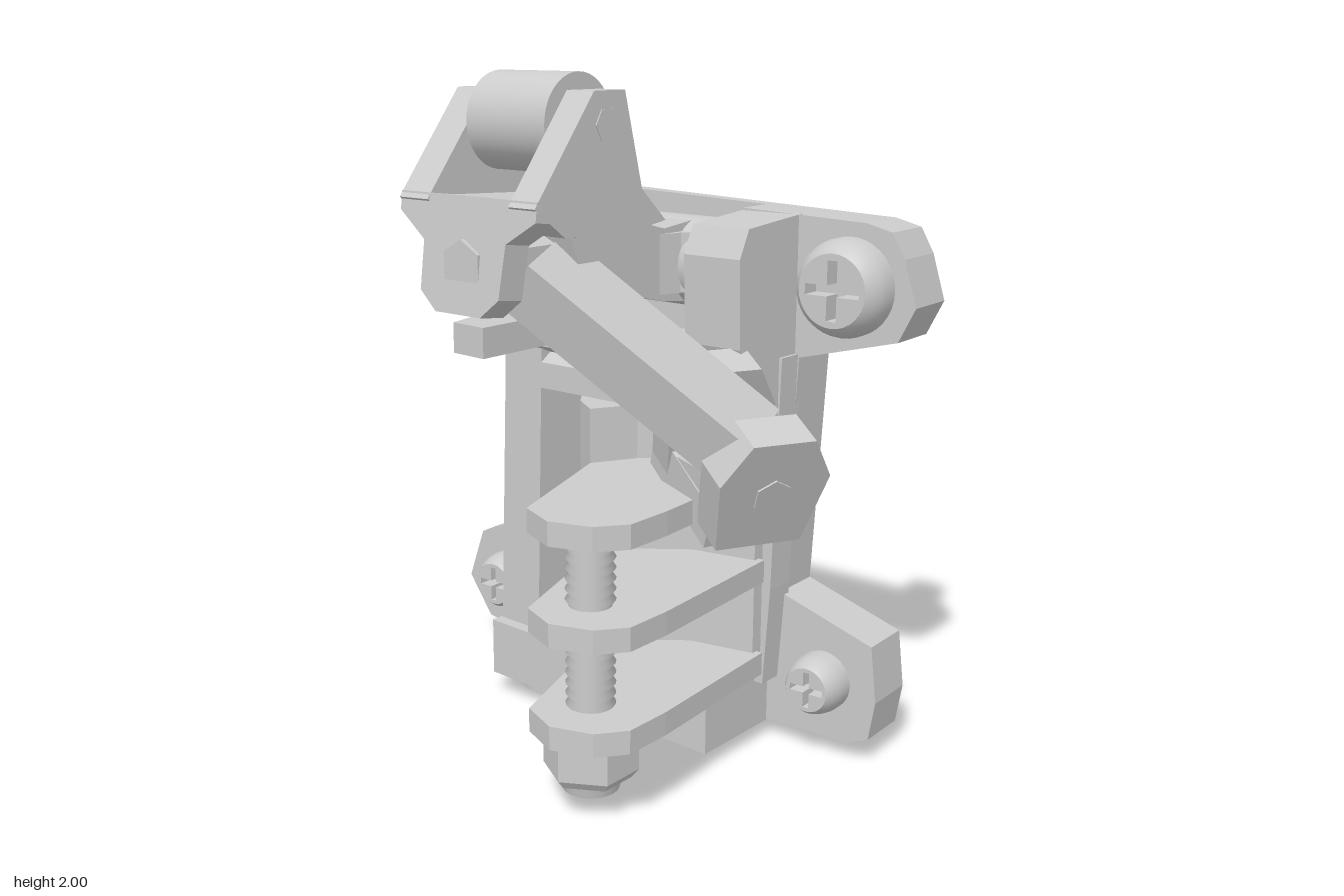
import * as THREE from 'three';

const grey = new THREE.MeshStandardMaterial({ color: 0xcccccc, side: THREE.DoubleSide });
const V = (x, y, z) => new THREE.Vector3(x, y, z);
const toShape = pts => new THREE.Shape(pts.map(p => new THREE.Vector2(p[0], p[1])));
const toProfile = pts => pts.map(p => new THREE.Vector2(p[0], p[1]));

function add(parent, name, geo, x = 0, y = 0, z = 0) {
  const m = new THREE.Mesh(geo, grey);
  m.name = name;
  m.position.set(x, y, z);
  parent.add(m);
  return m;
}
const extrude = (shape, depth) => new THREE.ExtrudeGeometry(shape, { depth, bevelEnabled: false, curveSegments: 16 });

// outline in x,y pushed along z
function front(parent, name, pts, z0, z1, hole) {
  const s = toShape(pts);
  if (hole) s.holes.push(toShape(hole));
  return add(parent, name, extrude(s, z1 - z0), 0, 0, z0);
}
// outline in z,y pushed along x
function side(parent, name, pts, x0, x1) {
  const m = add(parent, name, extrude(toShape(pts), x1 - x0), x1, 0, 0);
  m.rotation.y = -Math.PI / 2;
  return m;
}
// outline in x,z pushed along y
function plan(parent, name, pts, y0, y1) {
  const m = add(parent, name, extrude(toShape(pts), y1 - y0), 0, y1, 0);
  m.rotation.x = Math.PI / 2;
  return m;
}
// flat-sided hexagonal prism
function hexPrism(r0, r1, h) {
  const g = new THREE.CylinderGeometry(r0, r1, h, 6).toNonIndexed();
  g.computeVertexNormals();
  return g;
}
// cylinder or hexagonal bar between two points
function rod(parent, name, a, b, r, hex = false) {
  const h = a.distanceTo(b);
  const m = add(parent, name, hex ? hexPrism(r, r, h) : new THREE.CylinderGeometry(r, r, h, 40));
  m.position.copy(a).lerp(b, 0.5);
  m.quaternion.setFromUnitVectors(V(0, 1, 0), b.clone().sub(a).normalize());
  return m;
}
// threaded shaft standing on its origin
function thread(length, r, pitch) {
  const pts = [[0, 0]];
  for (let y = 0; y < length - pitch / 2; y += pitch) pts.push([r * 0.84, y], [r, y + pitch / 2]);
  pts.push([r * 0.84, length], [0, length]);
  return new THREE.LatheGeometry(toProfile(pts), 24);
}

// screw with domed cross-recess head, pointing backwards
function screw(parent, x, y, r, shaftR) {
  const g = new THREE.Group();
  g.name = 'mountingScrew';
  g.position.set(x, y, -0.26);
  const rim = [[r, -0.01], [r, 0.035], [r * 0.95, 0.06], [r * 0.86, 0.085], [r * 0.74, 0.1]];
  add(g, 'headDome', new THREE.LatheGeometry(toProfile(rim), 36)).rotation.x = Math.PI / 2;
  const disc = new THREE.Shape().absarc(0, 0, r * 0.74, 0, Math.PI * 2);
  const a = r * 0.11, b = r * 0.6;
  disc.holes.push(toShape([[a, a], [b, a], [b, -a], [a, -a], [a, -b], [-a, -b], [-a, -a], [-b, -a],
    [-b, a], [-a, a], [-a, b], [a, b]]));
  add(g, 'crossRecess', extrude(disc, 0.06), 0, 0, 0.04);
  rod(g, 'headBase', V(0, 0, -0.01), V(0, 0, 0.04), r * 0.98);
  add(g, 'screwThread', thread(0.38, shaftR, 0.03)).rotation.x = -Math.PI / 2;
  parent.add(g);
}

export function createModel() {
  const root = new THREE.Group();
  root.name = 'clampMechanism';

  // Base plate with four ears, a window and a pocket behind the hub
  const base = new THREE.Group();
  base.name = 'basePlate';
  base.rotation.y = 0.045;
  base.position.x = 0.016;
  root.add(base);
  const outline = [[-0.63, 1.64], [-0.73, 1.59], [-0.79, 1.46], [-0.77, 1.35], [-0.44, 1.17], [-0.47, 0.52],
    [-0.71, 0.45], [-0.77, 0.42], [-0.83, 0.25], [-0.74, 0.12], [-0.45, 0.08], [0.4, 0.05], [0.67, 0.05],
    [0.74, 0.08], [0.76, 0.2], [0.74, 0.37], [0.43, 0.47], [0.47, 1.19], [0.78, 1.27], [0.83, 1.37],
    [0.79, 1.5], [0.75, 1.57], [0.67, 1.59]];
  const pocket = [[0.27, 1.605], [0.27, 1.2], [-0.2, 1.2], [-0.2, 1.623]];
  const opening = [[-0.3, 0.24], [0.27, 0.24], [0.27, 1.04], [-0.28, 1.04]];
  front(base, 'plateBack', outline, -0.43, -0.38, opening);
  front(base, 'plateFront', [...outline, ...pocket], -0.38, -0.26, opening);
  screw(base, -0.585, 1.46, 0.14, 0.08);
  screw(base, 0.625, 1.41, 0.14, 0.08);
  screw(base, -0.635, 0.285, 0.095, 0.045);
  screw(base, 0.585, 0.23, 0.09, 0.045);

  // Raised frame around the window
  front(root, 'bottomBeam', [[-0.46, 0.07], [0.4, 0.05], [0.4, 0.23], [-0.46, 0.25]], -0.27, 0.04);
  front(root, 'leftWall', [[-0.46, 0.1], [-0.3, 0.1], [-0.27, 1.2], [-0.42, 1.2]], -0.27, 0.0);
  front(root, 'rightWall', [[0.3, 0.2], [0.43, 0.2], [0.45, 0.5], [0.47, 1.2], [0.3, 1.2]], -0.3, -0.2);
  side(root, 'topBeam', [[-0.27, 1.22], [-0.12, 1.2], [0.0, 1.12], [0.0, 1.04], [-0.27, 1.04]], -0.4, 0.34);
  const foot = new THREE.Shape().absarc(-0.35, -0.155, 0.12, Math.PI / 2, Math.PI * 1.5)
    .absarc(-0.04, -0.155, 0.12, -Math.PI / 2, Math.PI / 2);
  const footMesh = add(root, 'footPad', extrude(foot, 0.075), 0, 0.08, 0);
  footMesh.rotation.x = Math.PI / 2;
  for (const x of [-0.35, -0.04]) rod(root, 'footPin', V(x, 0, -0.155), V(x, 0.06, -0.155), 0.06, true);

  // Hinge lugs
  side(root, 'leftLug', [[-0.27, 1.62], [-0.03, 1.59], [0.04, 1.28], [0.04, 1.18], [-0.27, 1.05]], -0.42, -0.2);
  plan(root, 'stopTab', [[-0.4, 0.0], [-0.2, 0.0], [-0.2, 0.32], [-0.33, 0.31]], 1.19, 1.28);
  side(root, 'rightLug', [[-0.3, 1.6], [-0.04, 1.58], [0.0, 1.5], [-0.01, 1.25], [-0.1, 1.03], [-0.3, 1.03]], 0.27, 0.46);

  // Upper arm: hub, neck and roller fork
  rod(root, 'armHub', V(-0.19, 1.455, -0.17), V(0.265, 1.455, -0.17), 0.13);
  side(root, 'armNeck', [[-0.16, 1.58], [0.0, 1.565], [0.14, 1.6], [0.4, 1.61], [0.36, 1.5], [0.22, 1.41],
    [0.0, 1.36], [-0.16, 1.34]], -0.08, 0.2);
  plan(root, 'neckFlare', [[-0.19, -0.17], [0.265, -0.17], [0.265, -0.09], [0.22, -0.05], [0.2, 0.02],
    [-0.08, 0.02], [-0.1, -0.05], [-0.19, -0.09]], 1.38, 1.55);
  const cheek = [[0.43, 1.955], [0.31, 1.955], [0.24, 1.7], [0.14, 1.61], [0.3, 1.59], [0.54, 1.6], [0.65, 1.68]];
  side(root, 'leftForkCheek', cheek, -0.165, -0.06);
  side(root, 'rightForkCheek', cheek, 0.225, 0.315);
  side(root, 'forkFloor', [[0.64, 1.69], [0.25, 1.67], [0.14, 1.61], [0.14, 1.57], [0.4, 1.58], [0.54, 1.61]], -0.08, 0.24);
  const plate = front(root, 'frontForkPlate', [[-0.165, 1.69], [-0.165, 1.64], [-0.07, 1.57], [-0.07, 1.44], [-0.01, 1.39],
    [0.15, 1.39], [0.21, 1.44], [0.22, 1.58], [0.315, 1.64], [0.315, 1.69]], 0, 0.085);
  plate.rotation.x = -0.13;
  plate.position.set(0, 0.01, 0.775);
  rod(root, 'roller', V(-0.055, 1.87, 0.38), V(0.22, 1.87, 0.38), 0.13);
  rod(root, 'rollerPin', V(-0.168, 1.87, 0.38), V(0.318, 1.87, 0.38), 0.045, true);
  rod(root, 'linkBolt', V(0.075, 1.52, 0.3), V(0.075, 1.52, 0.668), 0.07, true);

  // Diagonal link bar
  const p = V(0.1, 1.49, 0.43), q = V(0.61, 1.035, 0.15);
  const along = q.clone().sub(p).normalize();
  const flat = V(0, 0, 1).addScaledVector(along, -along.z).normalize();
  const link = add(root, 'diagonalLink', new THREE.BoxGeometry(p.distanceTo(q), 0.155, 0.23));
  link.quaternion.setFromRotationMatrix(new THREE.Matrix4().makeBasis(along, flat.clone().cross(along), flat));
  link.position.copy(p).lerp(q, 0.5);

  // Lower fork: two tilted cheeks, pin and bridge
  const fork = new THREE.Group();
  fork.name = 'lowerFork';
  const n = V(0.82, -0.38, 0.42).normalize();
  const across = V(0, 1, 0).cross(n).normalize();
  fork.quaternion.setFromRotationMatrix(new THREE.Matrix4().makeBasis(across, n.clone().cross(across), n));
  fork.position.set(0.66, 0.95, 0.16);
  root.add(fork);
  const ear = [[-0.13, -0.16], [0.12, -0.16], [0.16, 0.05], [0.09, 0.17], [-0.09, 0.17], [-0.16, 0.05]];
  front(fork, 'outerCheek', ear, -0.06, 0.06);
  front(fork, 'innerCheek', ear, -0.38, -0.27);
  rod(fork, 'forkPin', V(0, 0, -0.4), V(0, 0, 0.065), 0.055, true);
  rod(fork, 'forkBushing', V(0, 0, -0.28), V(0, 0, -0.04), 0.1);
  front(fork, 'forkBridge', [[-0.13, -0.2], [0.12, -0.17], [0.12, -0.08], [-0.13, -0.08]], -0.38, 0.0);
  plan(root, 'forkBase', [[0.2, -0.12], [0.45, -0.18], [0.46, 0.0], [0.56, 0.08], [0.5, 0.22], [0.3, 0.12]], 0.81, 0.97);

  // Swinging body inside the window
  plan(root, 'swingBody', [[-0.2, -0.16], [-0.17, -0.25], [-0.05, -0.31], [0.1, -0.31], [0.25, -0.26], [0.42, -0.22],
    [0.42, -0.16], [0.22, -0.12], [0.09, -0.02], [0.02, 0.11], [-0.07, 0.05], [-0.15, -0.05]], 0.24, 1.04);

  // Three jaw plates carrying the adjusting bolt
  const jaw = [[0.02, 0.11], [0.18, 0.55], [0.3, 0.6], [0.42, 0.56], [0.48, 0.48], [0.48, 0.33], [0.44, -0.18], [0.1, -0.2]];
  for (const y of [0.24, 0.53, 0.81]) plan(root, 'jawPlate', jaw, y, y + 0.068);
  add(root, 'adjustingBolt', thread(0.81, 0.07, 0.03), 0.29, 0.06, 0.42);
  add(root, 'hexNut', hexPrism(0.135, 0.135, 0.115), 0.29, 0.183, 0.42);
  add(root, 'nutChamfer', hexPrism(0.135, 0.115, 0.025), 0.29, 0.113, 0.42);
  add(root, 'nutCollar', new THREE.CylinderGeometry(0.09, 0.08, 0.04, 24), 0.29, 0.085, 0.42);
  return root;
}
